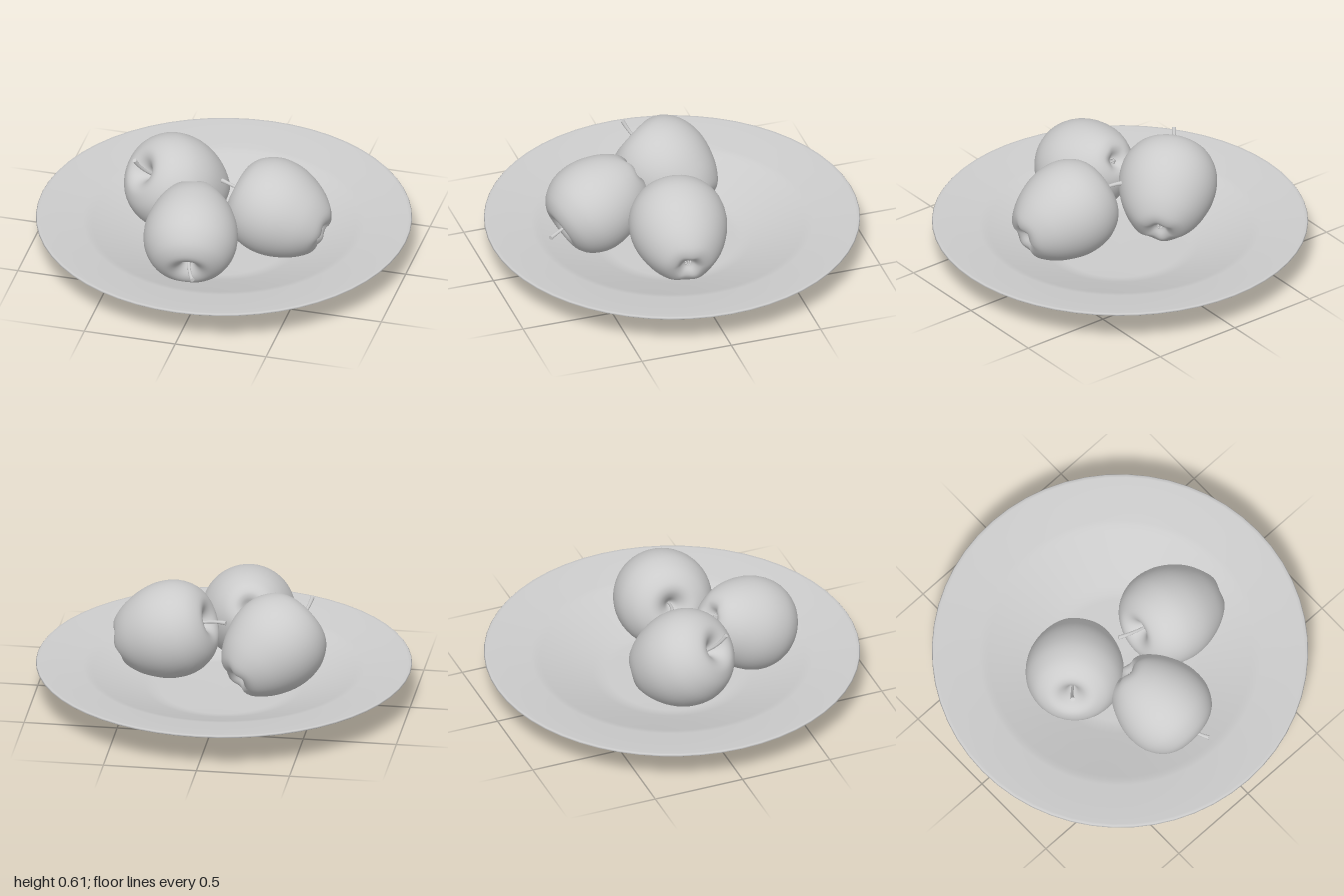
import * as THREE from 'three';

const material = new THREE.MeshStandardMaterial({ color: 0xcccccc, side: THREE.DoubleSide });
const vec2 = ([x, y]) => new THREE.Vector2(x, y);

function mesh(name, geometry) {
  const m = new THREE.Mesh(geometry, material);
  m.name = name;
  return m;
}

// Wide shallow bowl: flat foot, flared wall, broad rim, sunken floor
function makeBowl() {
  const profile = [
    [0, 0], [0.325, 0], [0.34, 0.004], [0.35, 0.018], [0.375, 0.03], [0.44, 0.052],
    [0.6, 0.1], [0.7, 0.13], [0.78, 0.151], [0.88, 0.169], [0.97, 0.184], [0.992, 0.19],
    [1, 0.196], [0.995, 0.202], [0.98, 0.203], [0.88, 0.192], [0.75, 0.175], [0.725, 0.17],
    [0.7, 0.161], [0.55, 0.108], [0.42, 0.064], [0.38, 0.053], [0.34, 0.048], [0, 0.045],
  ].map(vec2);
  return mesh('bowl', new THREE.LatheGeometry(profile, 56));
}

// Apple body around +y: narrow base with dimple, broad shoulders, deep stem hollow
function appleGeometry() {
  const curve = new THREE.SplineCurve([
    [0, -0.222], [0.025, -0.228], [0.055, -0.254], [0.09, -0.262], [0.14, -0.238],
    [0.2, -0.165], [0.245, -0.065], [0.261, 0.03], [0.248, 0.125], [0.2, 0.207],
    [0.135, 0.25], [0.085, 0.249], [0.045, 0.218], [0.015, 0.172], [0, 0.16],
  ].map(vec2));
  const points = curve.getPoints(56);
  points[0].x = points[points.length - 1].x = 0;
  const geometry = new THREE.LatheGeometry(points, 48);
  // Five soft lobes near the base
  const p = geometry.attributes.position;
  for (let i = 0; i < p.count; i++) {
    const x = p.getX(i), y = p.getY(i), z = p.getZ(i);
    const fade = Math.max(0, (-y - 0.1) / 0.16) * Math.min(1, Math.hypot(x, z) / 0.08);
    p.setY(i, y - 0.006 * fade * Math.cos(5 * Math.atan2(z, x)));
  }
  return geometry;
}

// axis points from the apple's centre to its stem hollow; tip is the stem end from the centre
function makeApple(name, body, { centre, axis, tip, size }) {
  const apple = new THREE.Group();
  apple.name = name;
  apple.position.set(...centre);
  const dir = new THREE.Vector3(...axis).normalize();

  const flesh = new THREE.Group();
  flesh.name = 'fruit';
  flesh.quaternion.setFromUnitVectors(new THREE.Vector3(0, 1, 0), dir);
  flesh.scale.setScalar(size);
  flesh.add(mesh('appleBody', body));

  // Dried blossom end
  for (let i = 0; i < 5; i++) {
    const sepal = mesh('sepal', new THREE.ConeGeometry(0.008, 0.03, 6));
    const a = (i / 5) * Math.PI * 2;
    sepal.position.set(0.012 * Math.cos(a), -0.232, 0.012 * Math.sin(a));
    sepal.rotation.set(Math.PI + 0.4 * Math.sin(a), 0, 0.4 * Math.cos(a));
    flesh.add(sepal);
  }
  apple.add(flesh);

  // Curved stem, thicker towards its cut end
  const end = new THREE.Vector3(...tip);
  const path = new THREE.QuadraticBezierCurve3(
    dir.clone().multiplyScalar(0.14 * size), dir.clone().multiplyScalar(0.26 * size), end);
  const rings = 12, sides = 10;
  const tube = new THREE.TubeGeometry(path, rings, 0.009, sides);
  const p = tube.attributes.position, v = new THREE.Vector3();
  for (let i = 0; i <= rings; i++) {
    const c = path.getPointAt(i / rings);
    const s = 0.85 + 0.45 * (i / rings) ** 3;
    for (let j = 0; j <= sides; j++) {
      const k = i * (sides + 1) + j;
      v.fromBufferAttribute(p, k).sub(c).multiplyScalar(s).add(c);
      p.setXYZ(k, v.x, v.y, v.z);
    }
  }
  apple.add(mesh('stem', tube));
  const cap = mesh('stemEnd', new THREE.CircleGeometry(0.0117, sides));
  cap.position.copy(end);
  cap.quaternion.setFromUnitVectors(new THREE.Vector3(0, 0, 1), path.getTangentAt(1));
  apple.add(cap);
  return apple;
}

export function createModel() {
  const model = new THREE.Group();
  model.name = 'bowlOfApples';
  model.add(makeBowl());
  const body = appleGeometry();
  model.add(
    makeApple('rightApple', body, {
      centre: [-0.268, 0.33, -0.06], axis: [-0.62, 0.52, 0.55], tip: [-0.19, 0.222, 0.185], size: 1 }),
    makeApple('frontApple', body, {
      centre: [-0.075, 0.332, 0.393], axis: [0.15, -0.45, 0.85], tip: [0.085, -0.12, 0.29], size: 0.96 }),
    makeApple('leftApple', body, {
      centre: [0.322, 0.334, 0.066], axis: [-0.93, 0.33, -0.1], tip: [-0.332, 0.09, -0.066], size: 1 }),
  );
  return model;
}
